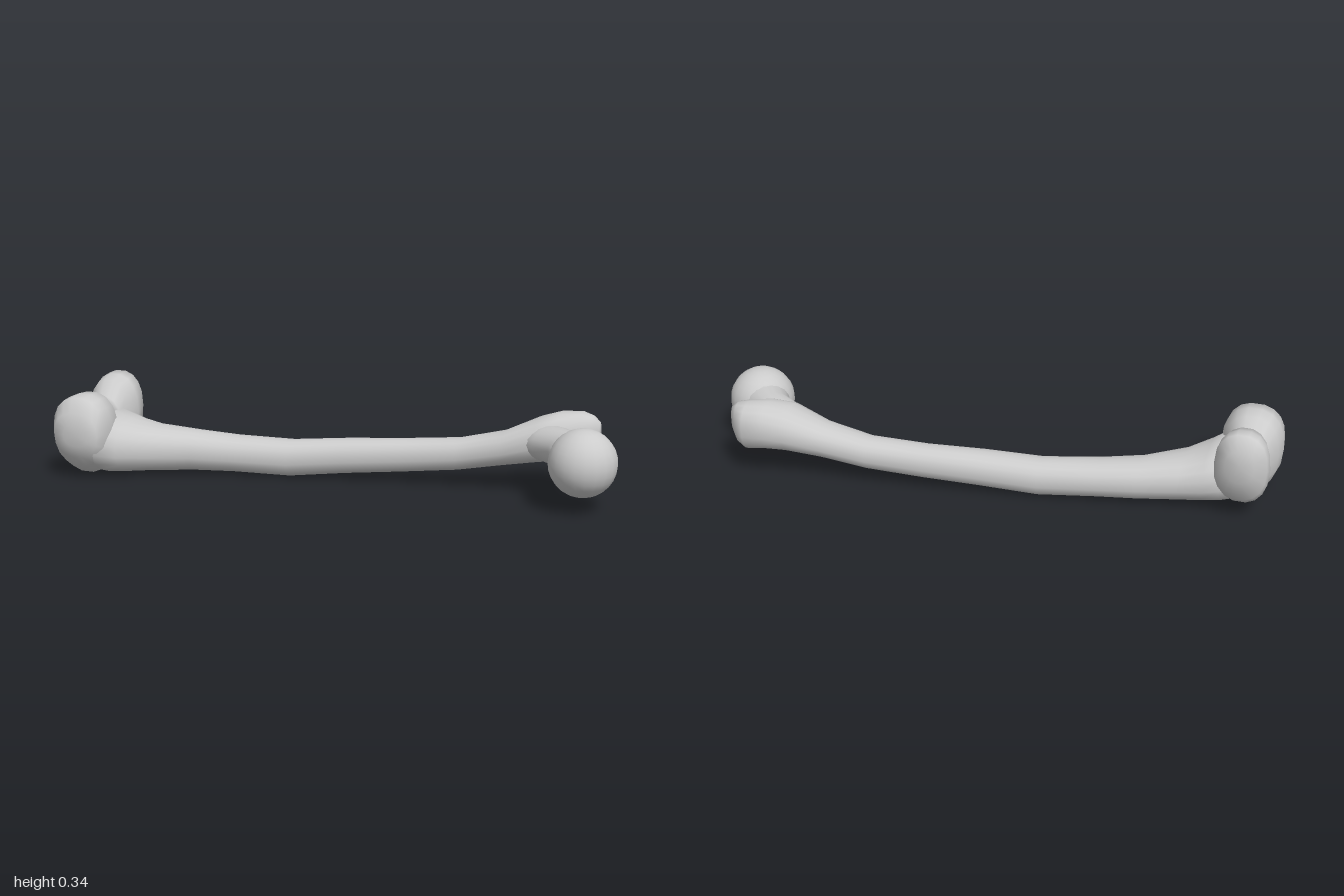
import * as THREE from 'three';

const material = new THREE.MeshStandardMaterial({ color: 0xcccccc });
const SIDES = 18;

// Skins rounded rings; each ring is { c: centre, u, v: half-axes } with u x v along the path.
function loft(name, rings, power = 1) {
  const pos = [], index = [];
  const soft = (t) => Math.sign(t) * Math.abs(t) ** power;
  for (const { c, u, v } of rings) {
    for (let i = 0; i < SIDES; i++) {
      const a = (i / SIDES) * Math.PI * 2;
      const p = c.clone().addScaledVector(u, soft(Math.cos(a))).addScaledVector(v, soft(Math.sin(a)));
      pos.push(p.x, p.y, p.z);
    }
  }
  const last = (rings.length - 1) * SIDES;
  const start = rings.length * SIDES, end = start + 1;
  pos.push(...rings[0].c.toArray(), ...rings[rings.length - 1].c.toArray());
  for (let i = 0; i < SIDES; i++) {
    const n = (i + 1) % SIDES;
    for (let r = 0; r < last; r += SIDES) {
      index.push(r + i, r + n, r + SIDES + i, r + n, r + SIDES + n, r + SIDES + i);
    }
    index.push(start, n, i, end, last + i, last + n);
  }
  const geometry = new THREE.BufferGeometry();
  geometry.setAttribute('position', new THREE.Float32BufferAttribute(pos, 3));
  geometry.setIndex(index);
  geometry.computeVertexNormals();
  const mesh = new THREE.Mesh(geometry, material);
  mesh.name = name;
  return mesh;
}

const V = (x, y, z) => new THREE.Vector3(x, y, z);

// Ring across x, from its limits in z and y
const ringX = ([x, z0, z1, y0, y1]) => ({
  c: V(x, (y0 + y1) / 2, (z0 + z1) / 2), u: V(0, (y1 - y0) / 2, 0), v: V(0, 0, (z1 - z0) / 2),
});
// Ring across z, from its limits in x and y
const ringZ = ([z, x0, x1, y0, y1]) => ({
  c: V((x0 + x1) / 2, (y0 + y1) / 2, z), u: V((x1 - x0) / 2, 0, 0), v: V(0, (y1 - y0) / 2, 0),
});
// Ring across the slanting neck
const ringNeck = ([x, y, z, width, height]) => ({
  c: V(x, y, z), u: V(0.72 * width, 0, -0.69 * width), v: V(0, height, 0),
});

export function createModel() {
  const bone = new THREE.Group();
  bone.name = 'thighBone';

  // Curved shaft, flaring to the knee end and to the outer knob at the hip end
  bone.add(loft('shaft', [
    [-0.92, 0.03, 0.25, 0.03, 0.2],
    [-0.82, -0.03, 0.295, 0.012, 0.23],
    [-0.76, -0.035, 0.25, 0.01, 0.2],
    [-0.68, -0.04, 0.18, 0.01, 0.175],
    [-0.54, -0.065, 0.1, 0.01, 0.155],
    [-0.4, -0.09, 0.06, 0.01, 0.142],
    [-0.2, -0.125, 0.01, 0.003, 0.135],
    [0, -0.16, -0.03, 0.024, 0.15],
    [0.2, -0.19, -0.075, 0.04, 0.16],
    [0.4, -0.222, -0.105, 0.06, 0.175],
    [0.56, -0.25, -0.11, 0.09, 0.213],
    [0.68, -0.29, -0.105, 0.11, 0.27],
    [0.75, -0.308, -0.135, 0.115, 0.29],
    [0.82, -0.315, -0.17, 0.112, 0.29],
    [0.86, -0.285, -0.195, 0.125, 0.28],
    [0.885, -0.255, -0.215, 0.16, 0.26],
  ].map(ringX), 0.9));

  // Two rounded knee knobs joined by a narrower saddle
  bone.add(loft('kneeKnobs', [
    [-0.072, -0.94, -0.84, 0.17, 0.29],
    [-0.045, -0.98, -0.8, 0.09, 0.34],
    [0, -0.985, -0.795, 0.055, 0.335],
    [0.045, -0.975, -0.805, 0.035, 0.322],
    [0.085, -0.96, -0.82, 0.025, 0.265],
    [0.12, -0.965, -0.81, 0.018, 0.262],
    [0.165, -0.99, -0.79, 0.014, 0.302],
    [0.22, -1, -0.78, 0.014, 0.306],
    [0.27, -0.995, -0.785, 0.05, 0.3],
    [0.3, -0.975, -0.8, 0.09, 0.25],
    [0.312, -0.93, -0.83, 0.13, 0.21],
  ].map(ringZ), 0.85));

  // Neck slanting from the shaft to the ball
  bone.add(loft('neck', [
    [0.66, 0.18, -0.19, 0.07, 0.055],
    [0.74, 0.19, -0.145, 0.08, 0.065],
    [0.8, 0.188, -0.095, 0.07, 0.065],
    [0.85, 0.177, -0.04, 0.09, 0.085],
    [0.885, 0.173, 0, 0.09, 0.09],
  ].map(ringNeck)));

  // Hip ball
  const ball = new THREE.Mesh(new THREE.SphereGeometry(0.117, 20, 14), material);
  ball.name = 'hipBall';
  ball.position.set(0.883, 0.173, 0);
  bone.add(ball);

  return bone;
}
